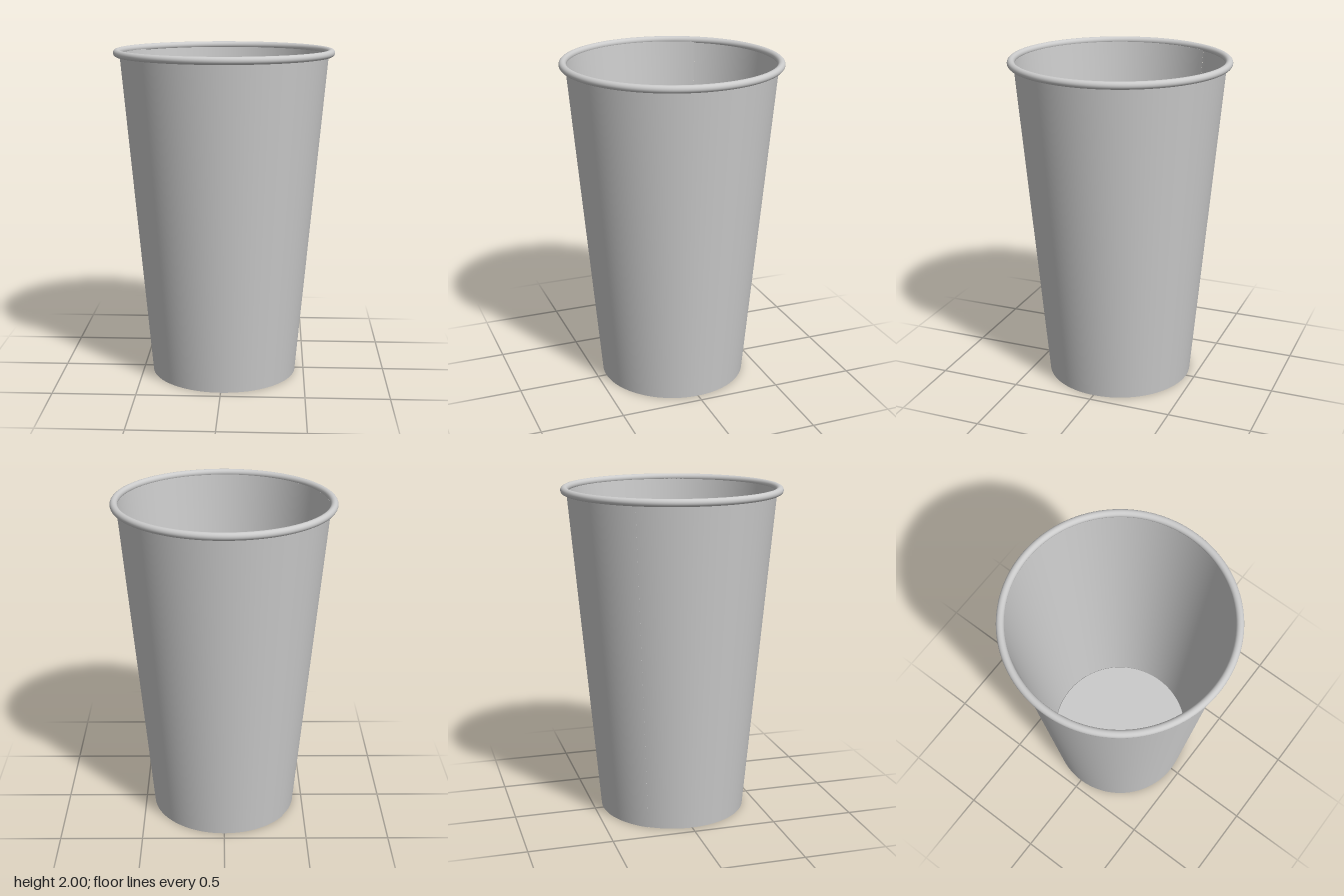
import * as THREE from 'three';
import { toCreasedNormals } from 'three/addons/utils/BufferGeometryUtils.js';

const material = new THREE.MeshStandardMaterial({ color: 0xcccccc, side: THREE.DoubleSide });
const rad = THREE.MathUtils.degToRad;

function lathe(profile, segments, start = 0, length = Math.PI * 2) {
  const points = profile.map(([r, y]) => new THREE.Vector2(r, y));
  return new THREE.LatheGeometry(points, segments, start, length);
}

function part(name, geometry) {
  const mesh = new THREE.Mesh(geometry, material);
  mesh.name = name;
  return mesh;
}

// Tapered sheet rolled slightly more than one turn, its ends overlapping in a seam
function wallGeometry() {
  const bottom = 0.443, top = 0.619, sheet = 0.0045, lap = 0.005;
  const geometry = lathe([
    [bottom - sheet, 0], [bottom, 0], [top, 1.97], [top - sheet, 1.97], [bottom - sheet, 0],
  ], 136, rad(-124.5), rad(383.5));
  const pos = geometry.attributes.position, uv = geometry.attributes.uv;
  for (let i = 0; i < pos.count; i++) {
    const x = pos.getX(i), z = pos.getZ(i);
    const k = 1 + (lap * uv.getX(i)) / Math.hypot(x, z);
    pos.setXYZ(i, x * k, pos.getY(i), z * k);
  }
  return toCreasedNormals(geometry, 0.5);
}

export function createModel() {
  const cup = new THREE.Group();
  cup.name = 'cup';
  cup.add(part('wall', wallGeometry()));

  // Raised floor with the folded skirt under it
  cup.add(part('floor', toCreasedNormals(lathe([
    [0, 0.085], [0.431, 0.085], [0.431, 0.003], [0.434, 0],
    [0.441, 0], [0.448, 0.09], [0.444, 0.095], [0, 0.095],
  ], 128), 0.5)));

  // Rolled rim
  const rim = part('rim', new THREE.TorusGeometry(0.636, 0.022, 20, 128));
  rim.rotation.x = Math.PI / 2;
  rim.position.y = 1.978;
  cup.add(rim);

  return cup;
}
